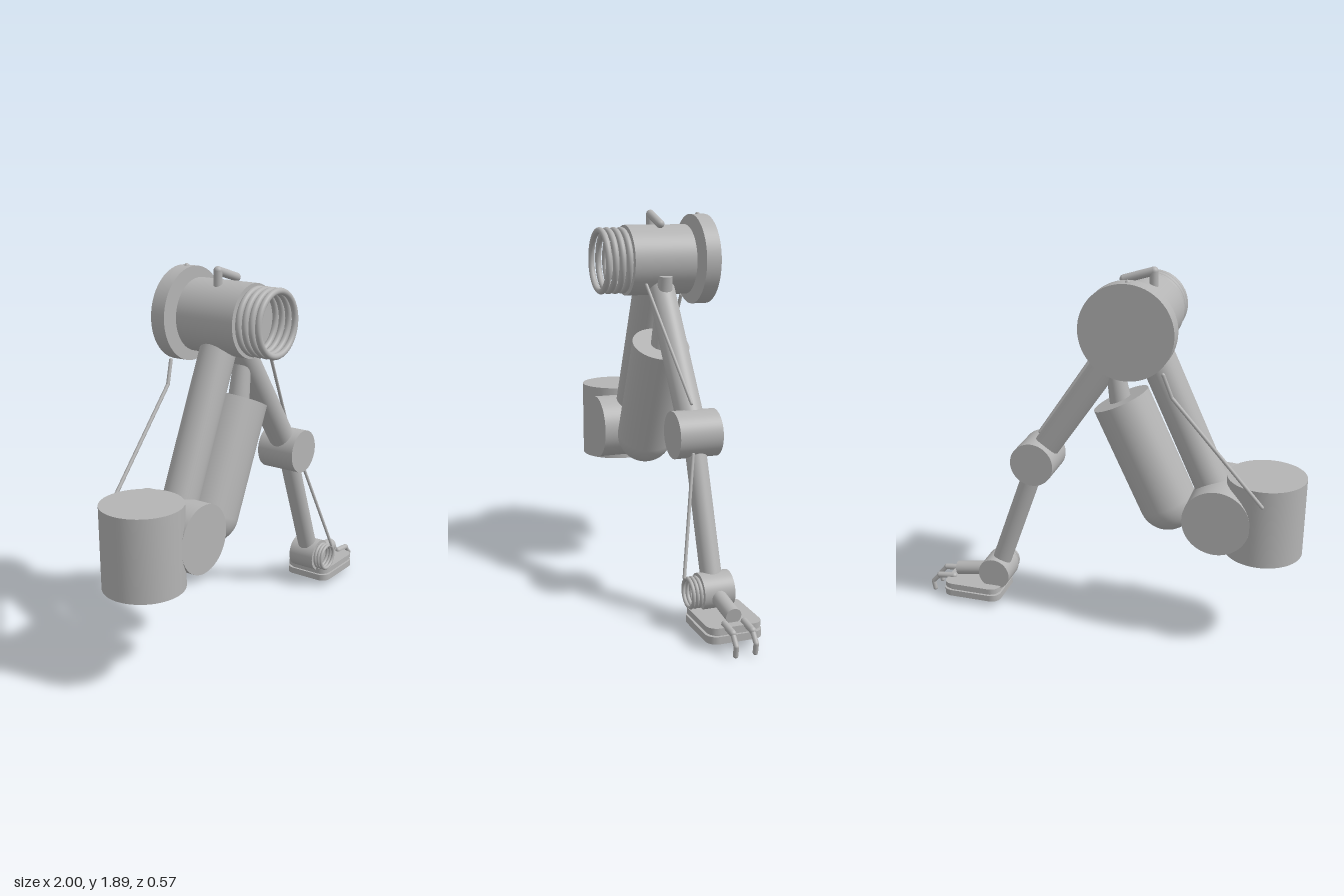
import * as THREE from 'three';

export function createModel() {
  const model = new THREE.Group();
  model.name = 'robotArm';
  const grey = new THREE.MeshStandardMaterial({ color: 0xb4b4b4 });
  grey.name = 'grey';
  const Z = -0.018; // plane in which the arm lies
  const V = (x, y, z = Z) => new THREE.Vector3(x, y, z);

  function add(name, geometry) {
    const mesh = new THREE.Mesh(geometry, grey);
    mesh.name = name;
    model.add(mesh);
    return mesh;
  }

  // Cylinder running from a to b
  function rod(name, a, b, rA, rB = rA, sides = 48) {
    const dir = b.clone().sub(a);
    const mesh = add(name, new THREE.CylinderGeometry(rB, rA, dir.length(), sides));
    mesh.position.copy(a).add(b).multiplyScalar(0.5);
    mesh.quaternion.setFromUnitVectors(V(0, 1, 0), dir.normalize());
    return mesh;
  }

  function ball(name, p, r) {
    add(name, new THREE.SphereGeometry(r, 20, 14)).position.copy(p);
  }

  // Round bar through points, with rounded ends and joints
  function bar(name, points, r, joints = true) {
    for (let i = 0; i < points.length - 1; i++) rod(name, points[i], points[i + 1], r, r, 16);
    if (joints) points.forEach((p) => ball(name + 'Joint', p, r));
  }

  // Stack of bellows rings along z
  function rings(name, x, y, z, count, pitch, outer, tube) {
    for (let i = 0; i < count; i++) {
      add(name, new THREE.TorusGeometry(outer - tube, tube, 16, 56)).position.set(x, y, z + pitch * (i + 0.5));
    }
  }

  // Base drum and shoulder drum
  rod('base', V(-0.807, 0.505), V(-0.807, 0.905), 0.193, 0.193, 64);
  rod('shoulder', V(-0.596, 0.705, -0.205), V(-0.596, 0.705, 0.168), 0.166, 0.166, 64);
  ball('shoulderStud', V(-0.575, 0.541), 0.012);

  // Upper arm up to the head
  const head = V(-0.166, 1.64);
  rod('upperArm', V(-0.596, 0.705), head, 0.087);

  // Piston: flat-topped barrel with a round bottom, and its tapered rod
  const pistonBottom = V(-0.32, 0.705);
  const pistonTop = V(-0.073, 1.225);
  const R = 0.145;
  const length = pistonTop.distanceTo(pistonBottom);
  const dome = add('pistonDome', new THREE.SphereGeometry(R, 48, 16, 0, Math.PI * 2, Math.PI / 2, Math.PI / 2));
  const barrel = rod('pistonBarrel', pistonBottom, pistonTop, R);
  dome.position.copy(pistonBottom);
  dome.quaternion.copy(barrel.quaternion);
  rod('pistonRod', V(-0.073, 1.2), V(-0.01, 1.57), 0.054, 0.035, 32);
  rod('pistonPeg', V(-0.56, 0.62), V(-0.3, 0.62), 0.03, 0.03, 24);

  // Head drum, bellows, back disc and handle
  rod('headDrum', V(head.x, head.y, -0.18), V(head.x, head.y, 0.142), 0.175, 0.175, 64);
  rings('headRing', head.x, head.y, 0.142, 4, 0.0363, 0.165, 0.0155);
  rod('headNeck', V(head.x, head.y, -0.22), V(head.x, head.y, -0.17), 0.1);
  rod('headDisc', V(head.x, head.y, -0.288), V(head.x, head.y, -0.21), 0.226, 0.226, 64);
  ball('discStud', V(head.x, 1.864, -0.25), 0.012);
  bar('handle', [V(-0.228, 1.78), V(-0.228, 1.866), V(-0.085, 1.82)], 0.021);

  // Forearm, elbow, lower link and wrist
  const elbow = V(0.366, 0.858);
  const wrist = V(0.612, 0.171);
  rod('forearm', head, elbow, 0.067);
  rod('elbow', V(elbow.x, elbow.y, -0.125), V(elbow.x, elbow.y, 0.088), 0.113);
  rod('lowerLink', elbow, wrist, 0.05);
  rod('wrist', V(wrist.x, wrist.y, -0.095), V(wrist.x, wrist.y, 0.054), 0.086);
  rings('wristRing', wrist.x, wrist.y, 0.054, 3, 0.019, 0.075, 0.009);

  // Hand with two bent fingers
  rod('hand', wrist, V(0.85, 0.134), 0.037, 0.037, 32);
  for (const side of [-1, 1]) {
    const z = Z + side * 0.047;
    bar('finger', [V(0.86, 0.108, z), V(0.945, 0.1, z)], 0.016);
    bar('fingerTip', [V(0.945, 0.1, z), V(0.985, 0.055, z), V(0.978, 0.012, z)], 0.012);
  }

  // Rounded pad under the wrist, three layers with a groove
  function pad(name, y, height, inset) {
    const w = 0.16 - inset, d = 0.133 - inset, r = 0.05;
    const s = new THREE.Shape();
    s.absarc(w - r, d - r, r, 0, Math.PI / 2);
    s.absarc(-w + r, d - r, r, Math.PI / 2, Math.PI);
    s.absarc(-w + r, -d + r, r, Math.PI, Math.PI * 1.5);
    s.absarc(w - r, -d + r, r, Math.PI * 1.5, Math.PI * 2);
    const mesh = add(name, new THREE.ExtrudeGeometry(s, { depth: height, bevelEnabled: false, curveSegments: 8 }));
    mesh.rotation.x = -Math.PI / 2;
    mesh.position.set(0.733, y, Z);
  }
  pad('padBottom', 0.033, 0.034, 0);
  pad('padGroove', 0.067, 0.01, 0.012);
  pad('padTop', 0.077, 0.028, 0.003);

  // Cables
  bar('backCable', [V(-0.33, 1.44, -0.225), V(-0.37, 1.33, -0.214), V(-0.815, 0.83, -0.214)], 0.009);
  bar('forearmCable', [V(0.01, 1.53, 0.088), V(0.355, 1.0, -0.012)], 0.008);
  bar('wristCable', [V(0.45, 0.78, 0.017), V(0.617, 0.25, 0.125)], 0.008);

  return model;
}
